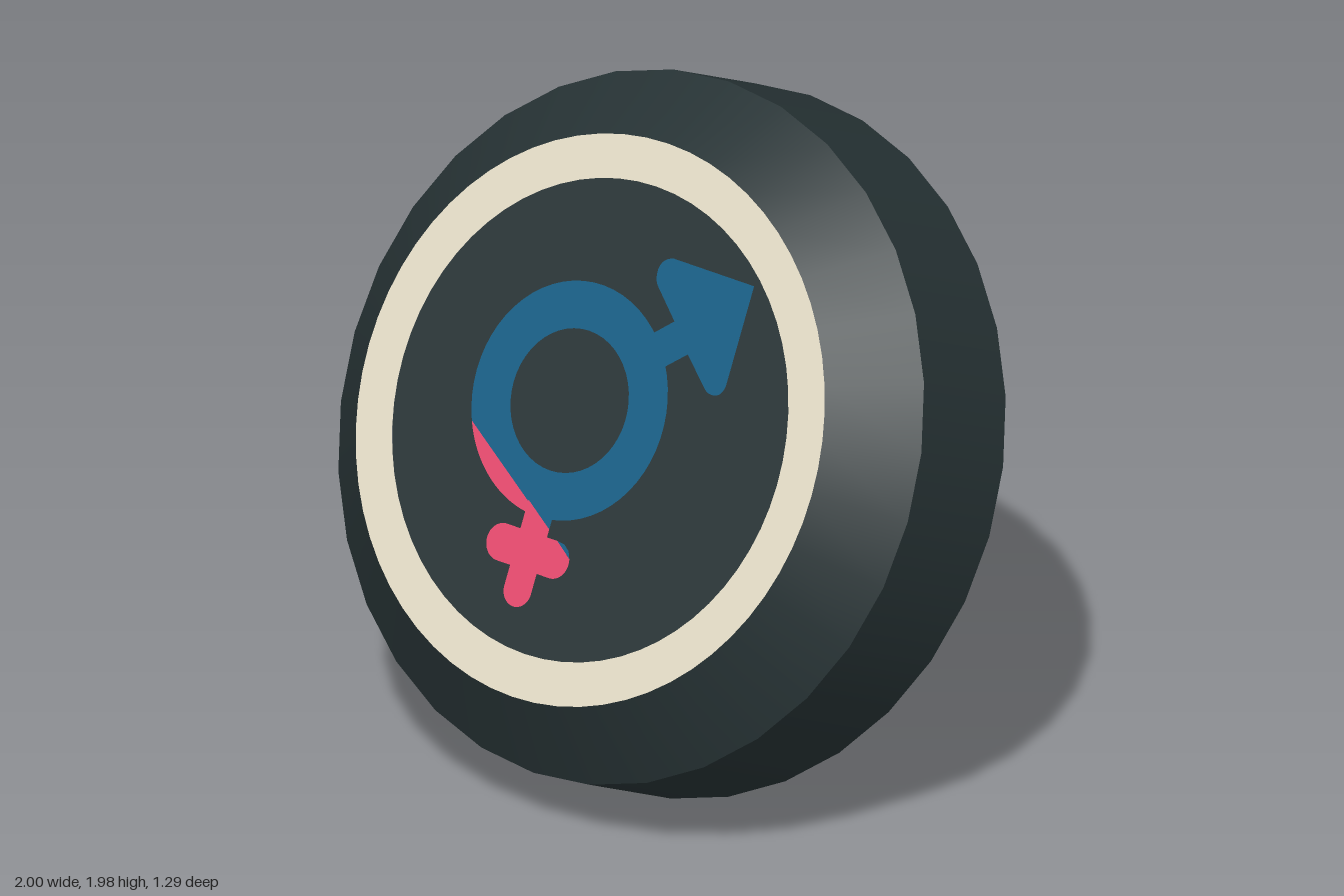
import * as THREE from 'three';

const SIDES = 32, RIM = 0.39, DEPTH = 0.585;

export function createModel() {
  const mat = (name, color) => {
    const m = new THREE.MeshStandardMaterial({ color });
    m.name = name;
    return m;
  };
  const dark = mat('charcoal', 0x263234);
  const cream = mat('cream', 0xe2dac5);
  const blue = mat('blue', 0x0f5c84);
  const pink = mat('pink', 0xe4476c);

  const model = new THREE.Group();
  model.name = 'tiltedButton';
  const disc = new THREE.Group();
  disc.name = 'disc';
  disc.position.set(0, 0.908, -0.22);
  disc.rotation.x = -THREE.MathUtils.degToRad(25);
  model.add(disc);

  const add = (name, geometry, material, z) => {
    const mesh = new THREE.Mesh(geometry, material);
    mesh.name = name;
    mesh.position.z = z;
    disc.add(mesh);
  };
  // open band around the z axis
  const band = (front, back, h) =>
    new THREE.CylinderGeometry(front, back, h, SIDES, 1, true).rotateX(Math.PI / 2);

  // solid body
  add('rim', band(1, 1, RIM), dark, RIM / 2);
  add('bevel', band(0.8, 1, DEPTH - RIM), dark, (RIM + DEPTH) / 2);
  add('backFace', new THREE.CircleGeometry(1, SIDES).rotateY(Math.PI), dark, 0);
  add('frontFace', new THREE.CircleGeometry(0.676, SIDES * 2), dark, DEPTH);
  add('borderRing', new THREE.RingGeometry(0.676, 0.8, SIDES * 2), cream, DEPTH + 0.0005);

  // flat symbol pieces
  const piece = (name, shape, material, layer = 0) =>
    add(name, new THREE.ShapeGeometry(shape, 24), material, DEPTH + 0.002 + layer * 0.0005);
  const poly = (pts) => new THREE.Shape(pts.map(([x, y]) => new THREE.Vector2(x, y)));
  const cx = -0.085, cy = 0.033, R = 0.335;
  const a0 = THREE.MathUtils.degToRad(204.9), a1 = THREE.MathUtils.degToRad(271.6);

  // circle, cut by a slanted colour boundary
  const ring = new THREE.Shape();
  ring.absarc(cx, cy, R, a1, a0 + Math.PI * 2, false);
  ring.closePath();
  const hole = new THREE.Path();
  hole.absarc(cx, cy, 0.202, 0, Math.PI * 2, true);
  ring.holes.push(hole);
  piece('symbolRing', ring, blue);

  const crescent = new THREE.Shape();
  crescent.absarc(cx, cy, R, a0, a1, false);
  crescent.closePath();
  piece('ringCrescent', crescent, pink);

  // arrow with rounded barbs
  const arrow = new THREE.Shape();
  arrow.moveTo(0.417, 0.502);
  arrow.lineTo(0.128, 0.502);
  arrow.quadraticCurveTo(0.09, 0.495, 0.085, 0.461);
  arrow.quadraticCurveTo(0.084, 0.43, 0.1, 0.415);
  arrow.lineTo(0.187, 0.337);
  arrow.lineTo(0.128, 0.287);
  arrow.lineTo(0.1, 0.24);
  arrow.lineTo(0.16, 0.19);
  arrow.lineTo(0.198, 0.209);
  arrow.lineTo(0.262, 0.262);
  arrow.lineTo(0.345, 0.19);
  arrow.quadraticCurveTo(0.362, 0.175, 0.38, 0.177);
  arrow.quadraticCurveTo(0.412, 0.178, 0.417, 0.215);
  piece('arrow', arrow, blue, 1);

  // cross below the circle
  const stem = new THREE.Shape();
  stem.moveTo(-0.032, -0.325);
  stem.lineTo(-0.128, -0.265);
  stem.lineTo(-0.128, -0.513);
  stem.absarc(-0.08, -0.513, 0.048, Math.PI, Math.PI * 2, false);
  piece('crossStem', stem, pink, 1);
  piece('stemTip', poly([[-0.09, -0.289], [-0.032, -0.325], [-0.032, -0.28]]), blue, 1);

  const bar = new THREE.Shape();
  bar.moveTo(0.005, -0.348);
  bar.lineTo(-0.177, -0.348);
  bar.absarc(-0.177, -0.401, 0.053, Math.PI / 2, Math.PI * 1.5, false);
  bar.absarc(0.011, -0.401, 0.053, -Math.PI / 2, 0.3, false);
  piece('crossBar', bar, pink);
  piece('crossBarCorner', poly([[0.005, -0.348], [0.062, -0.385], [0.052, -0.365], [0.032, -0.351]]), blue, 1);

  return model;
}
